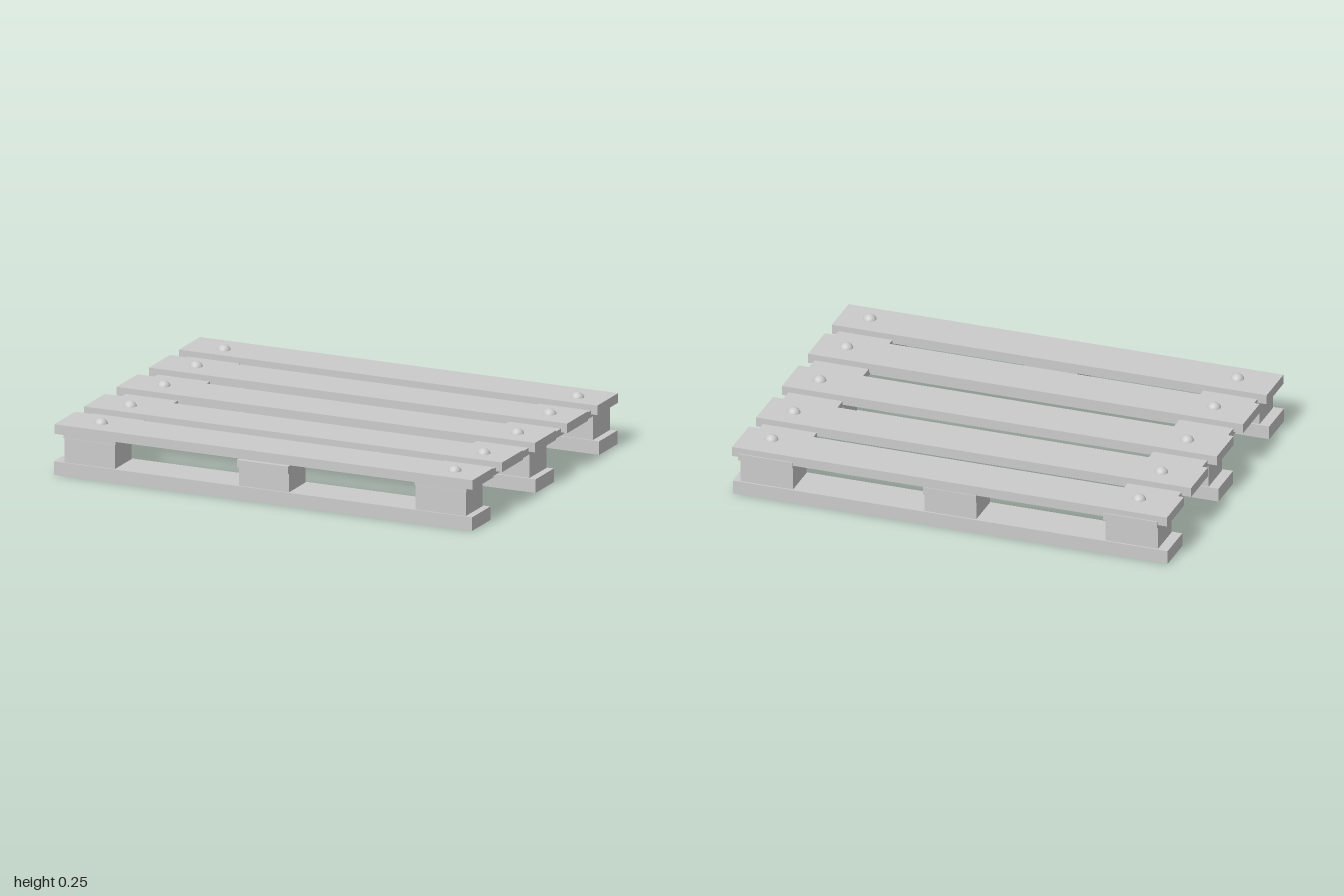
import * as THREE from 'three';

export function createModel() {
  const pallet = new THREE.Group();
  pallet.name = 'pallet';
  const wood = new THREE.MeshStandardMaterial({ color: 0xcccccc });

  // Box given by its limits on each axis
  function board(name, [x0, x1], [y0, y1], [z0, z1]) {
    const mesh = new THREE.Mesh(new THREE.BoxGeometry(x1 - x0, y1 - y0, z1 - z0), wood);
    mesh.position.set((x0 + x1) / 2, (y0 + y1) / 2, (z0 + z1) / 2);
    mesh.name = name;
    pallet.add(mesh);
  }

  // Five deck slats, each with two round nail heads
  const nailGeometry = new THREE.SphereGeometry(0.031, 24, 16);
  const slats = [[-0.634, -0.611], [-0.33, -0.331], [-0.005, -0.004], [0.326, 0.336], [0.626, 0.63]];
  for (const [z, nailZ] of slats) {
    board('deckSlat', [-1, 1], [0.184, 0.227], [z - 0.106, z + 0.106]);
    for (const x of [-0.825, 0.866]) {
      const nail = new THREE.Mesh(nailGeometry, wood);
      nail.position.set(x, 0.219, nailZ);
      nail.name = 'nailHead';
      pallet.add(nail);
    }
  }

  // Two stringers running under the slats
  board('stringer', [-0.957, -0.708], [0.17, 0.201], [-0.746, 0.728]);
  board('stringer', [0.721, 0.97], [0.17, 0.201], [-0.746, 0.728]);

  // Three base boards with spacer blocks at both ends
  const rows = [
    { base: [-0.732, -0.547], block: [-0.724, -0.553] },
    { base: [-0.09, 0.096], block: [-0.085, 0.086] },
    { base: [0.552, 0.737], block: [0.56, 0.73] },
  ];
  for (const { base, block } of rows) {
    board('baseBoard', [-1, 1], [0, 0.061], base);
    board('spacerBlock', [-0.953, -0.711], [0.061, 0.17], block);
    board('spacerBlock', [0.726, 0.967], [0.061, 0.17], block);
  }

  // Centre blocks with cap pads on the front and back base boards
  for (const [block, pad] of [[rows[0].block, [-0.738, -0.538]], [rows[2].block, [0.546, 0.745]]]) {
    board('centreBlock', [-0.117, 0.121], [0.061, 0.147], block);
    board('centrePad', [-0.12, 0.124], [0.147, 0.181], pad);
  }

  return pallet;
}
